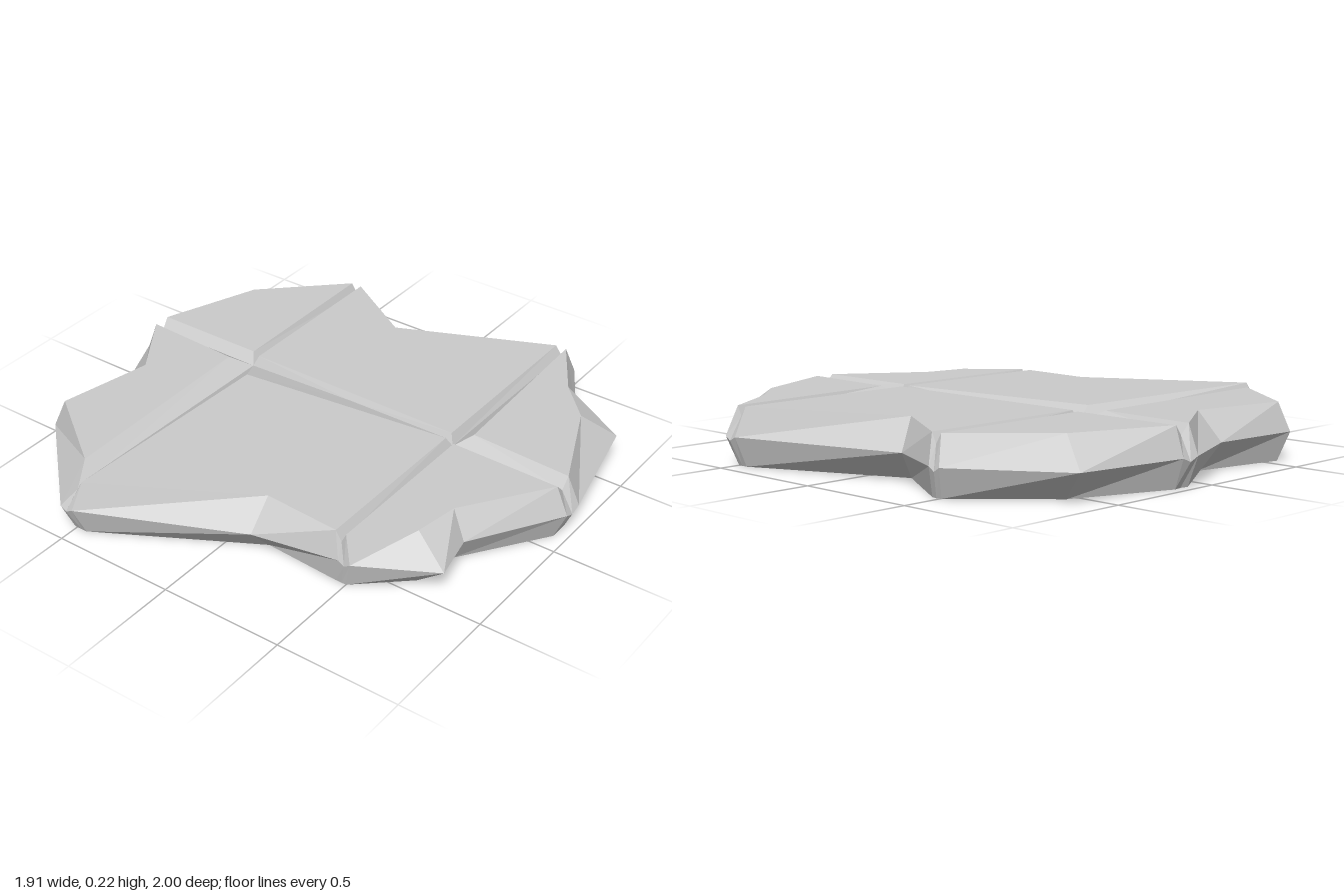
import * as THREE from 'three';

const TOP = 0.225, MID = 0.113, LOW = 0.185, LOW_RIM = 0.097;

// Rim stations, clockwise from the back: outer x, z, then inner x, z
const RIM = [
  [0.08, -1, 0.085, -0.96], [0.12, -1, 0.12, -0.955], [0.16, -1, 0.155, -0.96],
  [0.61, -0.93, 0.545, -0.81],
  [0.87, -0.53, 0.835, -0.505], [0.87, -0.505, 0.84, -0.485], [0.87, -0.48, 0.835, -0.46],
  [0.755, -0.22, 0.645, -0.15],
  [0.955, 0.47, 0.915, 0.455], [0.955, 0.5, 0.915, 0.48], [0.955, 0.525, 0.915, 0.5],
  [0.70, 0.68, 0.675, 0.65], [0.64, 0.895, 0.53, 0.79],
  [0.165, 1, 0.16, 0.95], [0.12, 1, 0.12, 0.95], [0.08, 1, 0.08, 0.95],
  [-0.27, 0.78, -0.25, 0.72], [-0.46, 0.82, -0.43, 0.69],
  [-0.62, 0.53, -0.60, 0.50], [-0.62, 0.505, -0.60, 0.48], [-0.62, 0.48, -0.60, 0.455],
  [-0.685, 0.14, -0.58, 0.14],
  [-0.96, -0.475, -0.915, -0.455], [-0.96, -0.505, -0.915, -0.478], [-0.96, -0.53, -0.80, -0.545],
  [-0.585, -0.91, -0.56, -0.87], [-0.205, -0.88, -0.18, -0.79],
];
const GROOVE_ENDS = [1, 5, 9, 14, 19, 23]; // stations at the groove floors

// Points inside the rim, numbered on from it: groove crossings and slab corners
const INSIDE = [
  [0.12, LOW, -0.48], [0.12, LOW, 0.475],
  [0.065, TOP, -0.56], [0.155, TOP, -0.505], [0.005, TOP, -0.42], [0.14, TOP, -0.465],
  [0.06, TOP, 0.30], [0.20, TOP, -0.03], [0.085, TOP, 0.50], [0.18, TOP, 0.53],
  [0.10, TOP, 0.455], [0.14, TOP, 0.455], [0.125, 0.20, 0],
];

const SLABS = [
  [0, 29, 24, 25, 26], [2, 3, 4, 30],
  [31, 33, 37, 20, 21, 22], [32, 6, 7, 8, 38, 34],
  [35, 15, 16, 17, 18], [36, 10, 11, 12, 13],
];
const GROOVES = [
  [0, 1, 27, 29], [1, 2, 30, 27],                             // back
  [24, 29, 27, 23], [23, 27, 31, 22], [27, 30, 4, 5], [27, 5, 6, 32], // rear cross
  [27, 39, 28, 37, 33, 31], [27, 32, 34, 38, 28, 39],         // shallow centre
  [20, 37, 28, 19], [19, 28, 35, 18], [38, 8, 9, 28], [28, 9, 10, 36], // front cross
  [28, 36, 13, 14], [28, 14, 15, 35],                         // front
];

// Triangulate outlines in plan, facing up (1) or down (-1)
function addCaps(out, outlines, facing) {
  for (const pts of outlines) {
    const plan = pts.map(p => new THREE.Vector2(p[0], -p[2]));
    for (const [a, b, c] of THREE.ShapeUtils.triangulateShape(plan, [])) {
      const turn = THREE.ShapeUtils.area([plan[a], plan[b], plan[c]]);
      const order = turn * facing > 0 ? [a, b, c] : [a, c, b];
      for (const k of order) out.push(...pts[k]);
    }
  }
}

// Band of quads between two closed rings
function addBand(out, lower, upper) {
  lower.forEach((p, i) => {
    const j = (i + 1) % lower.length;
    for (const v of [lower[j], p, upper[i], lower[j], upper[i], upper[j]]) out.push(...v);
  });
}

function makeMesh(name, positions) {
  const geometry = new THREE.BufferGeometry();
  geometry.setAttribute('position', new THREE.Float32BufferAttribute(positions, 3));
  geometry.computeVertexNormals();
  const mesh = new THREE.Mesh(geometry,
    new THREE.MeshStandardMaterial({ color: 0xcccccc, flatShading: true }));
  mesh.name = name;
  return mesh;
}

export function createModel() {
  const group = new THREE.Group();
  group.name = 'crackedStoneFloor';

  // Three rings: top edge, widest line, base
  const isLow = i => GROOVE_ENDS.includes(i);
  const top = RIM.map((r, i) => [r[2], isLow(i) ? LOW : TOP, r[3]]);
  const mid = RIM.map((r, i) => [r[0], isLow(i) ? LOW_RIM : MID, r[1]]);
  const base = RIM.map(r => [r[2], 0, r[3]]);
  base[24] = [-0.915, 0, -0.51];
  const points = [...top, ...INSIDE];
  const pick = list => list.map(poly => poly.map(i => points[i]));

  const slabs = [], grooves = [], bevel = [], skirt = [], underside = [];
  addCaps(slabs, pick(SLABS), 1);
  addCaps(grooves, pick(GROOVES), 1);
  addBand(bevel, mid, top);
  addBand(skirt, base, mid);
  addCaps(underside, [base], -1);

  group.add(
    makeMesh('slabTops', slabs),
    makeMesh('grooves', grooves),
    makeMesh('upperBevel', bevel),
    makeMesh('lowerBevel', skirt),
    makeMesh('underside', underside),
  );
  return group;
}
